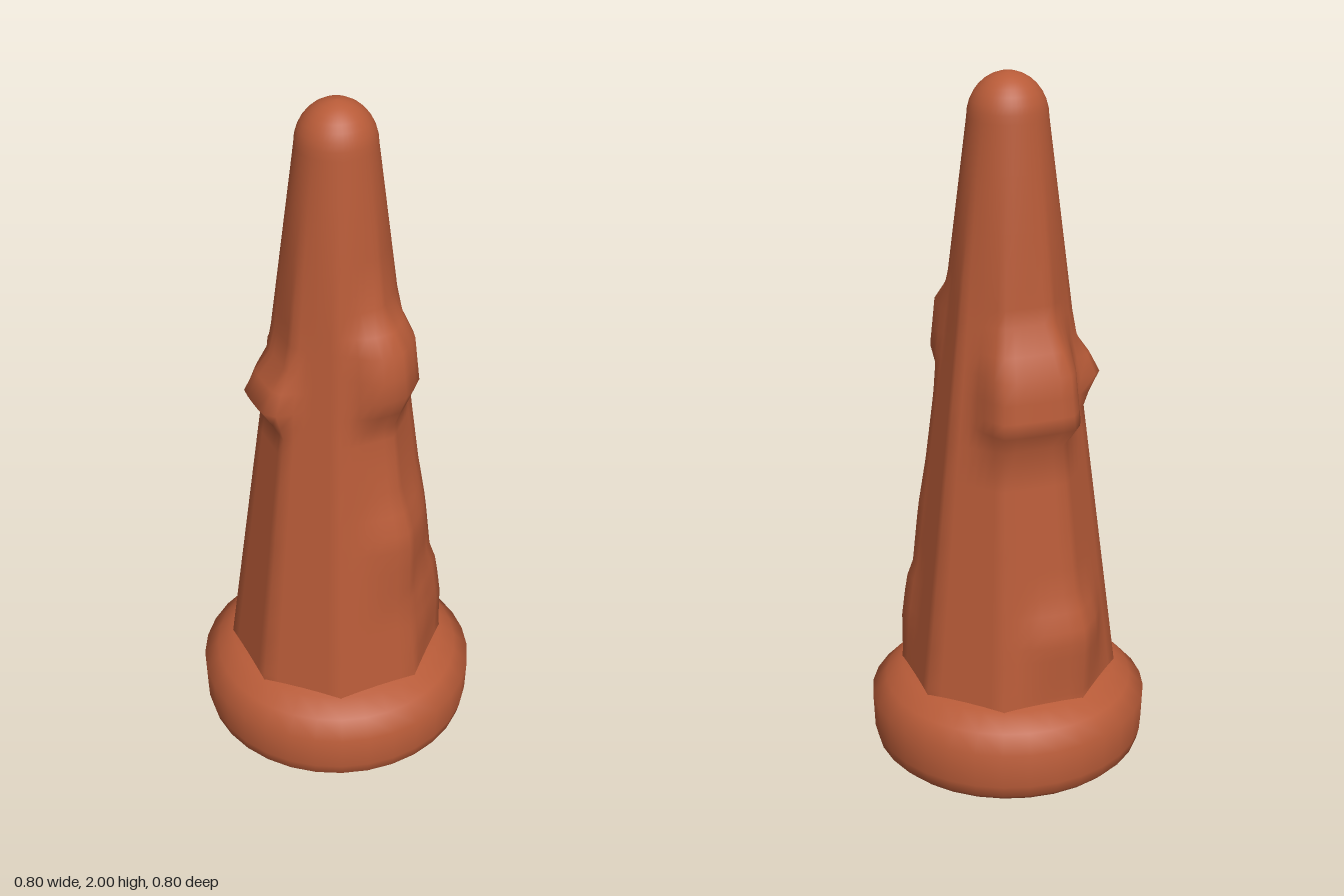
import * as THREE from 'three';

const clay = new THREE.MeshStandardMaterial({ color: 0xb85b38 });
clay.name = 'reddish clay';

// Lumps on the shaft: direction in degrees from +z towards +x, angular half width,
// the four heights where each lump starts, levels, falls and ends, and its depth.
const LUMPS = [
  { at: 3, wide: 48, y: [1.10, 1.22, 1.35, 1.46], depth: 0.062 },
  { at: 8, wide: 45, y: [0.50, 0.72, 0.77, 0.90], depth: 0.026 },
  { at: 30, wide: 32, y: [0.28, 0.40, 0.52, 0.58], depth: 0.016 },
  { at: 160, wide: 58, y: [1.01, 1.07, 1.22, 1.35], depth: 0.056 },
  { at: 178, wide: 40, y: [0.27, 0.44, 0.48, 0.59], depth: 0.027 },
  { at: -113, wide: 36, y: [1.08, 1.15, 1.18, 1.29], depth: 0.066 },
];

// Rises from 0 to 1 between a and b, stays level to c and falls back at d
function plateau(v, [a, b, c, d]) {
  return THREE.MathUtils.clamp(Math.min((v - a) / (b - a), (d - v) / (d - c)), 0, 1);
}

function lumpDepth(angle, y) {
  let sum = 0;
  for (const l of LUMPS) {
    const off = Math.abs(((angle - l.at + 540) % 360) - 180);
    const side = THREE.MathUtils.smoothstep(l.wide - off, 0, l.wide * 0.65);
    sum += l.depth * side * plateau(y, l.y);
  }
  return sum;
}

// Eight-sided shaft that turns round at its domed tip
function makeShaft() {
  const taper = (y) => 0.315 - (y - 0.25) * 0.1263;
  const rings = [];
  for (const y of [0.15, 0.25, 0.28, 0.34, 0.4, 0.44, 0.48, 0.53, 0.58, 0.65, 0.72, 0.77,
    0.83, 0.9, 1.01, 1.07, 1.11, 1.16, 1.22, 1.28, 1.35, 1.4, 1.46, 1.6, 1.75, 1.88]) {
    rings.push([y, taper(y)]);
  }
  for (let i = 1; i <= 8; i++) {
    const a = (i / 8) * Math.PI / 2;
    rings.push([1.88 + 0.12 * Math.sin(a), taper(1.88) * Math.cos(a)]);
  }
  const N = 48, pos = [], index = [];
  rings.forEach(([y, r], j) => {
    const round = THREE.MathUtils.smoothstep(y, 1.3, 1.85);
    for (let i = 0; i < N; i++) {
      const deg = (i * 360) / N;
      const t = THREE.MathUtils.degToRad(deg);
      const corner = THREE.MathUtils.degToRad((deg % 45) - 22.5);
      const octagon = Math.cos(Math.PI / 8) / Math.cos(corner);
      const radius = r * THREE.MathUtils.lerp(octagon, 1, round) + lumpDepth(deg, y);
      pos.push(radius * Math.sin(t), y, radius * Math.cos(t));
      if (j === 0) continue;
      const k = (i + 1) % N, lo = (j - 1) * N, hi = j * N;
      index.push(lo + i, lo + k, hi + k, lo + i, hi + k, hi + i);
    }
  });
  const g = new THREE.BufferGeometry();
  g.setAttribute('position', new THREE.Float32BufferAttribute(pos, 3));
  g.setIndex(index);
  g.computeVertexNormals();
  return g;
}

// Round foot with a soft lower edge and a sloping shoulder
function makeFoot() {
  const profile = [[0, 0], [0.3, 0], [0.34, 0.004], [0.37, 0.016], [0.39, 0.036], [0.398, 0.07],
    [0.402, 0.175], [0.36, 0.22], [0.312, 0.262], [0.2, 0.28]];
  return new THREE.LatheGeometry(profile.map(([r, y]) => new THREE.Vector2(r, y)), 32);
}

export function createModel() {
  const group = new THREE.Group();
  group.name = 'claySpire';
  const shaft = new THREE.Mesh(makeShaft(), clay);
  shaft.name = 'lumpyShaft';
  const foot = new THREE.Mesh(makeFoot(), clay);
  foot.name = 'roundFoot';
  group.add(shaft, foot);
  return group;
}
